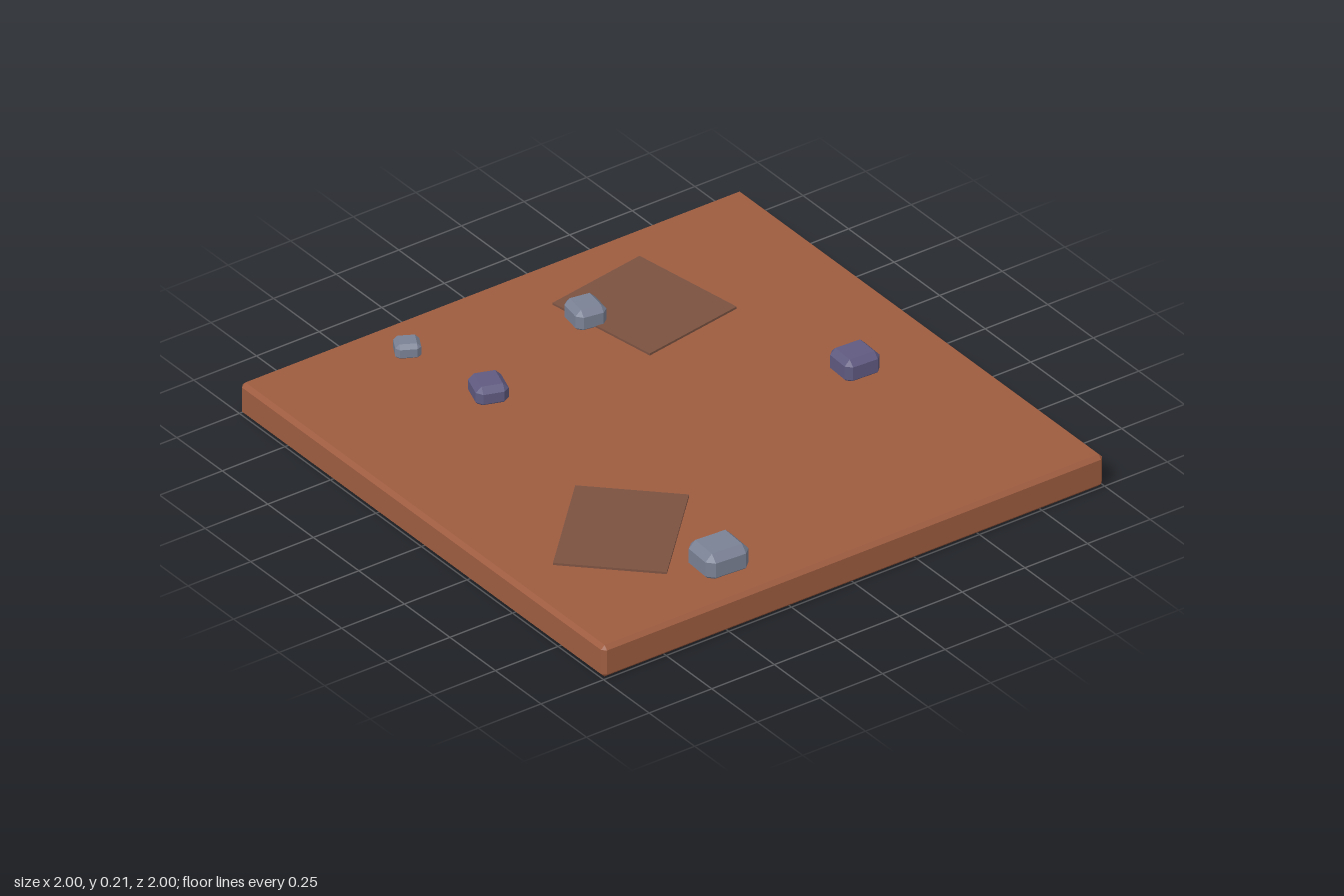
import * as THREE from 'three';
import { ConvexGeometry } from 'three/addons/geometries/ConvexGeometry.js';

const paint = (name, color) => {
  const m = new THREE.MeshStandardMaterial({ color });
  m.name = name;
  return m;
};

// Box with every edge and corner cut flat by c
function chamferedBox(w, h, d, c) {
  const points = [];
  for (const sx of [-1, 1]) for (const sy of [-1, 1]) for (const sz of [-1, 1]) {
    const x = w / 2, y = h / 2, z = d / 2;
    points.push(
      new THREE.Vector3(sx * x, sy * (y - c), sz * (z - c)),
      new THREE.Vector3(sx * (x - c), sy * y, sz * (z - c)),
      new THREE.Vector3(sx * (x - c), sy * (y - c), sz * z)
    );
  }
  return new ConvexGeometry(points);
}

export function createModel() {
  const group = new THREE.Group();
  const clay = paint('red clay', 0x9e5c40);
  const darkClay = paint('dark clay', 0x7b5241);
  const grey = paint('grey stone', 0x7a8194);
  const purple = paint('purple stone', 0x5f5a80);

  const add = (name, geometry, material, x, y, z, turn = 0) => {
    const mesh = new THREE.Mesh(geometry, material);
    mesh.name = name;
    mesh.position.set(x, y, z);
    mesh.rotation.y = turn;
    group.add(mesh);
  };

  // Ground slab
  const top = 0.12;
  add('groundSlab', chamferedBox(2, top, 2, 0.014), clay, 0, top / 2, 0);

  // Thin dark patches lying on the slab: x, z, width, depth, turn
  [
    [-0.6, -0.327, 0.44, 0.4, 0.165],
    [0.456, 0.535, 0.477, 0.372, -0.78],
  ].forEach(([x, z, w, d, turn], i) =>
    add(`groundPatch${i + 1}`, new THREE.BoxGeometry(w, 0.009, d), darkClay, x, top + 0.0035, z, turn));

  // Stones, sunk a little into the slab: x, z, width, depth, top height, bevel, turn, colour
  [
    [0.806, 0.4, 0.15, 0.165, 0.206, 0.025, -0.06, grey],
    [0.106, -0.653, 0.125, 0.135, 0.195, 0.02, -0.05, purple],
    [-0.465, 0.395, 0.125, 0.112, 0.182, 0.02, -0.33, purple],
    [-0.649, -0.126, 0.12, 0.112, 0.19, 0.02, -0.16, grey],
    [-0.828, 0.455, 0.082, 0.085, 0.168, 0.014, -0.5, grey],
  ].forEach(([x, z, w, d, peak, bevel, turn, material], i) => {
    const h = peak - top + bevel * 0.7;
    add(`stone${i + 1}`, chamferedBox(w, h, d, bevel), material, x, peak - h / 2, z, turn);
  });

  return group;
}
